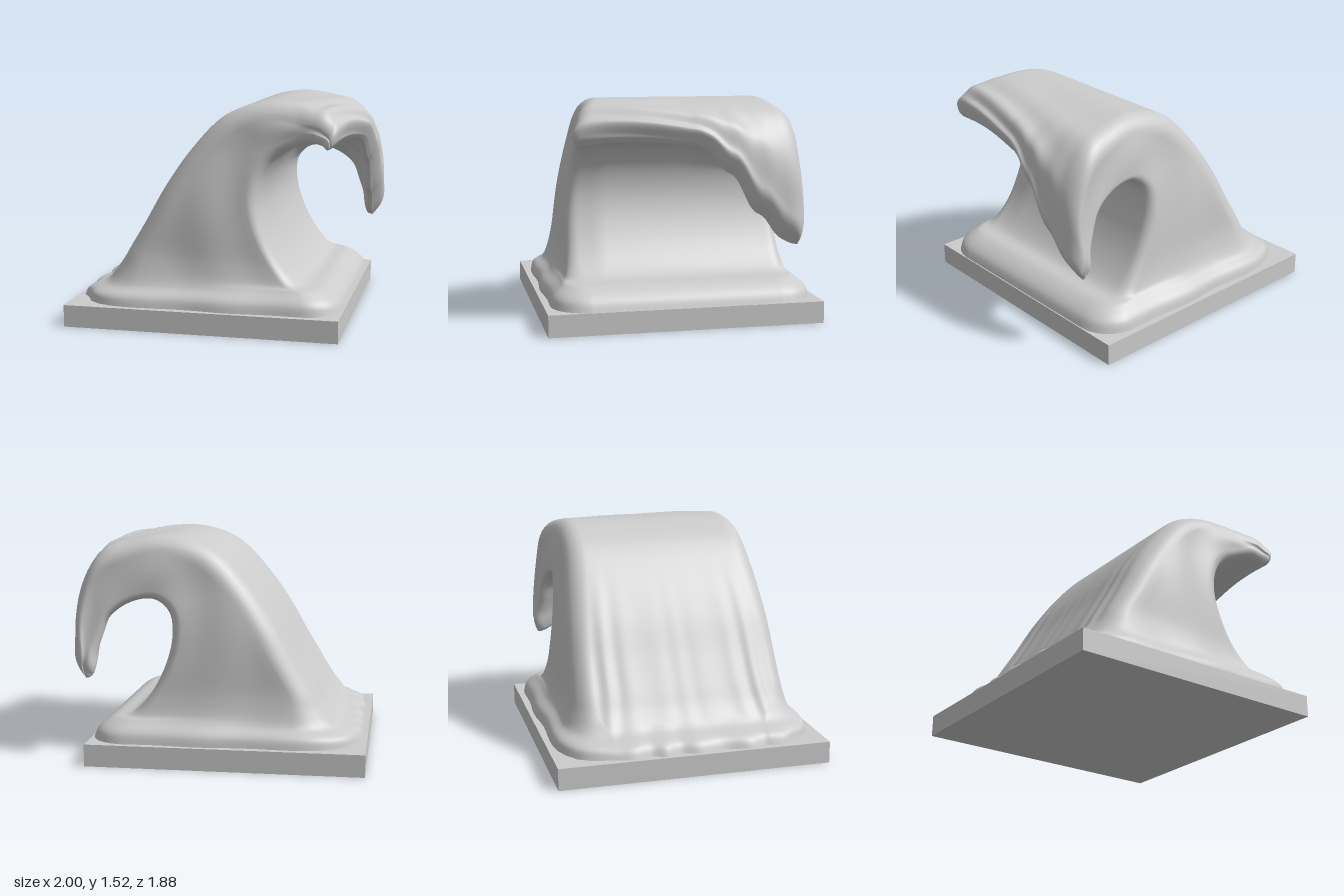
import * as THREE from 'three';

// Paired stations from foot to lip tip: [outer x, outer y, inner x, inner y]
const STEM = [
  [-0.97, 0.13, 0.87, 0.13], [-0.93, 0.21, 0.83, 0.22], [-0.80, 0.27, 0.73, 0.29],
  [-0.71, 0.37, 0.58, 0.32], [-0.63, 0.50, 0.44, 0.45], [-0.51, 0.70, 0.33, 0.66],
  [-0.37, 0.95, 0.285, 0.85], [-0.20, 1.19, 0.30, 1.00],
];
const SHORT_LIP = [
  [0.00, 1.40, 0.35, 1.11], [0.15, 1.48, 0.42, 1.18], [0.33, 1.52, 0.50, 1.22],
  [0.53, 1.51, 0.58, 1.25], [0.66, 1.48, 0.64, 1.26], [0.74, 1.45, 0.68, 1.25],
  [0.79, 1.40, 0.71, 1.24], [0.815, 1.34, 0.73, 1.23], [0.80, 1.27, 0.745, 1.225], [0.77, 1.23, 0.77, 1.23],
];
const LONG_LIP = [
  [0.00, 1.40, 0.36, 1.07], [0.15, 1.48, 0.45, 1.10], [0.33, 1.52, 0.57, 1.085],
  [0.55, 1.51, 0.68, 1.03], [0.75, 1.45, 0.76, 0.95], [0.90, 1.30, 0.80, 0.83],
  [0.96, 1.08, 0.83, 0.72], [0.995, 0.82, 0.84, 0.62], [0.965, 0.65, 0.86, 0.57], [0.90, 0.56, 0.90, 0.56],
];
// Half width along z at each station
const WIDTH = [0.90, 0.88, 0.81, 0.775, 0.75, 0.74, 0.73, 0.72, 0.71, 0.705, 0.705, 0.71, 0.72, 0.73, 0.745, 0.765, 0.75, 0.73];

const spline = (pts) => new THREE.CatmullRomCurve3(pts.map(([x, y]) => new THREE.Vector3(x, y, 0)), false, 'centripetal');
const sides = (rows) => [spline(rows.map((r) => [r[0], r[1]])), spline(rows.map((r) => [r[2], r[3]]))];
const SHORT = sides([...STEM, ...SHORT_LIP]);
const LONG = sides([...STEM, ...LONG_LIP]);
const WIDTHS = spline(WIDTH.map((w, i) => [i * 0.1, w]));
const smooth = THREE.MathUtils.smoothstep;
const bump = (t, a, b, c, d) => smooth(t, a, b) * (1 - smooth(t, c, d));

// Outer and inner point at station t and width fraction u (-1 back .. 1 front)
function section(t, u) {
  const k = smooth(-u, 0, 1) + 0.04 * bump(-u, 0.1, 0.4, 0.6, 0.9) * Math.sin(-u * 22 + 2);
  const late = smooth(t, 0.55, 0.85);
  const [outer, inner] = [0, 1].map((s) => {
    const p = SHORT[s].getPoint(t).lerp(LONG[s].getPoint(t), k);
    p.x += late * 0.11 * (1 - u) * (1 - k);
    if (u > 0) p.y += late * 0.03 * Math.sin(u * Math.PI);
    return p;
  });
  // Back slope falls away at its ends, tunnel wall swells behind the front rim
  outer.x += 0.025 * bump(t, 0.1, 0.2, 0.35, 0.5) * smooth(Math.abs(u), 0.75, 1);
  inner.x += 0.03 * bump(t, 0.12, 0.25, 0.45, 0.6) * (1 - smooth(u, 0.65, 1));
  // Flow ridges down the back, folds along the lip, uneven foot
  const edge = 0.2 + 0.8 * smooth(Math.abs(u), 0.3, 0.8);
  const ridge = 0.008 * bump(t, 0.02, 0.12, 0.25, 0.45) * edge * Math.sin(u * 27 + Math.sin(u * 9) + t * 4);
  const fold = 0.013 * late * (1 - smooth(t, 0.9, 0.98)) * (1 - 0.7 * smooth(u, 0.6, 1)) * Math.sin(t * 58 + u * 2.5);
  const foot = 0.014 * (1 - smooth(t, 0.05, 0.16)) * Math.sin(u * 21 + Math.cos(u * 7));
  const dir = outer.clone().sub(inner);
  const thick = dir.length();
  if (thick > 1e-4) outer.addScaledVector(dir, (ridge + fold + foot) / thick);
  return [outer, inner];
}

// Rounded-rectangle ring: long outer and inner sides, two end walls, four corners
function ringPoints() {
  const pts = [];
  const NU = 64, NV = 12, NC = 6;
  const side = (su, outer) => {
    for (let i = 0; i <= NU; i++) pts.push({ su: su * (1 - 2 * i / NU), inV: 0, outer });
  };
  const corner = (su, outer, rising) => {
    for (let i = 1; i < NC; i++) {
      const a = (rising ? i / NC : 1 - i / NC) * Math.PI / 2;
      pts.push({ su, inZ: 1 - Math.sin(a), inV: 1 - Math.cos(a), outer });
    }
  };
  const wall = (su) => {
    for (let i = 0; i <= NV; i++) pts.push({ su, wall: su < 0 ? i / NV : 1 - i / NV });
  };
  side(1, true);
  corner(-1, true, true);
  wall(-1);
  corner(-1, false, false);
  side(-1, false);
  corner(1, false, true);
  wall(1);
  corner(1, true, false);
  return pts;
}

function waveGeometry() {
  const ring = ringPoints();
  const n = ring.length, rows = 120;
  const pos = [], index = [];
  for (let i = 0; i <= rows; i++) {
    const t = i / rows;
    const w = WIDTHS.getPoint(t).y;
    const ease = smooth(t, 0, 0.25);
    // Corner radii, larger on the outer side
    const rOuter = THREE.MathUtils.lerp(0.38, 0.12, ease);
    const rInner = THREE.MathUtils.lerp(0.24, 0.07, ease);
    const [limBack, limFront] = [-1, 1].map((u) => {
      const [o, q] = section(t, u);
      return 0.45 * o.distanceTo(q);
    });
    for (const p of ring) {
      const onWall = p.wall !== undefined;
      const radius = (limit, outer) => Math.min(limit, outer ? rOuter : rInner);
      const limit = p.su < 0 ? limBack : limFront;
      const r = radius(limit, p.outer);
      let z;
      if (onWall) z = p.su * w;
      else if (p.inZ !== undefined) z = p.su * (w - r * p.inZ);
      else z = THREE.MathUtils.lerp(radius(limBack, p.outer) - w, w - radius(limFront, p.outer), (p.su + 1) / 2);
      const [o, q] = section(t, z / w);
      const thick = Math.max(o.distanceTo(q), 1e-5);
      const fOuter = Math.min(radius(limit, true) / thick, 0.45);
      const fInner = Math.min(radius(limit, false) / thick, 0.45);
      const v = onWall ? fOuter + (1 - fOuter - fInner) * p.wall
        : p.outer ? fOuter * p.inV : 1 - fInner * p.inV;
      o.lerp(q, v);
      // Slight waviness of the end walls
      const sway = onWall ? 0.012 * Math.sin(o.x * 9 + o.y * 3) * Math.sin(Math.PI * p.wall) : 0;
      // End walls lean in toward the crest on the outer side
      const lean = 1 - 0.07 * (1 - v) * bump(t, 0.3, 0.5, 0.58, 0.75);
      pos.push(o.x, o.y, (z + p.su * sway) * lean);
    }
  }
  for (let i = 0; i < rows; i++) {
    for (let j = 0; j < n; j++) {
      const a = i * n + j, b = i * n + (j + 1) % n;
      index.push(a, a + n, b + n, a, b + n, b);
    }
  }
  const geo = new THREE.BufferGeometry();
  geo.setAttribute('position', new THREE.Float32BufferAttribute(pos, 3));
  geo.setIndex(index);
  geo.computeVertexNormals();
  return geo;
}

export function createModel() {
  const group = new THREE.Group();
  const material = new THREE.MeshStandardMaterial({ color: 0xcccccc });

  // Square plinth
  const plinth = new THREE.Mesh(new THREE.BoxGeometry(1.87, 0.15, 1.88), material);
  plinth.name = 'plinth';
  plinth.position.set(-0.065, 0.075, 0);
  group.add(plinth);

  // Breaking wave with a lip that hangs lower toward the back
  const wave = new THREE.Mesh(waveGeometry(), material);
  wave.name = 'wave';
  group.add(wave);
  return group;
}
